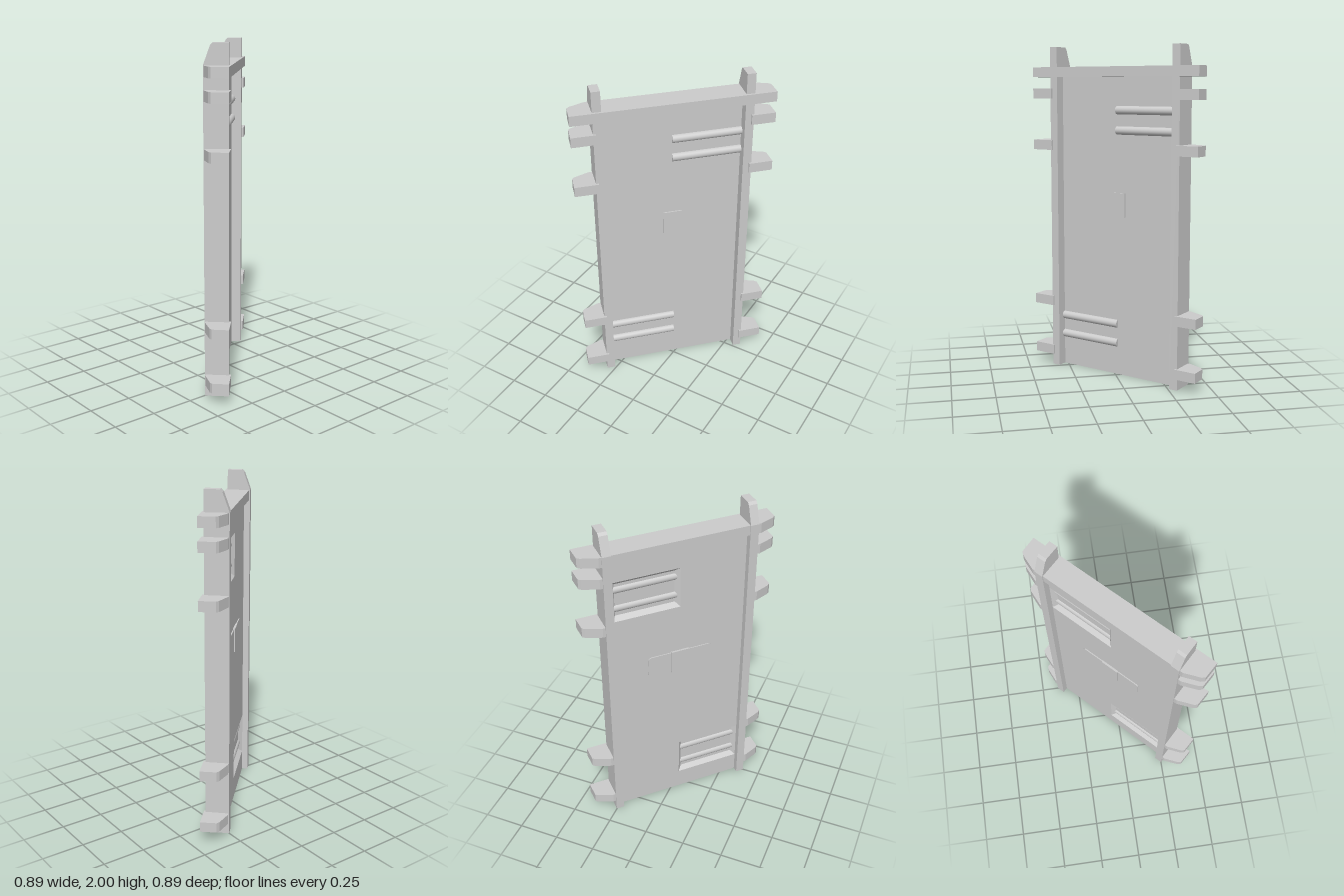
import * as THREE from 'three';

const material = new THREE.MeshStandardMaterial({ color: 0xcccccc });

// Panel frame: x runs along the width, y is up, z is the thickness (front is +z).
const POST_IN = 0.404, POST_OUT = 0.455;
const PANEL_BACK = 0.022, FLOOR = 0.037, PANEL_FRONT = 0.063;

function add(parent, name, geometry, x = 0, y = 0, z = 0) {
  const mesh = new THREE.Mesh(geometry, material);
  mesh.name = name;
  mesh.position.set(x, y, z);
  parent.add(mesh);
  return mesh;
}

function polygon(points) {
  return new THREE.Shape(points.map(([x, y]) => new THREE.Vector2(x, y)));
}

function extrude(shape, depth) {
  return new THREE.ExtrudeGeometry(shape, { depth, bevelEnabled: false, curveSegments: 6 });
}

// Plan outline (x, z) raised to a horizontal plate
function plate(points, height) {
  return extrude(polygon(points), height).rotateX(Math.PI / 2).translate(0, height, 0);
}

function rectangle(x0, x1, y0, y1) {
  return [[x0, y0], [x1, y0], [x1, y1], [x0, y1]];
}

function roundedRect(w, h, r) {
  const s = new THREE.Shape();
  const x = w / 2, y = h / 2;
  s.absarc(x - r, y - r, r, 0, Math.PI / 2);
  s.absarc(-x + r, y - r, r, Math.PI / 2, Math.PI);
  s.absarc(-x + r, -y + r, r, Math.PI, Math.PI * 1.5);
  s.absarc(x - r, -y + r, r, Math.PI * 1.5, Math.PI * 2);
  return s;
}

// Sloping walls from a recess opening down to its floor
function recessWalls(x0, x1, y0, y1, inset) {
  const outer = rectangle(x0, x1, y0, y1);
  const inner = rectangle(x0 + inset, x1 - inset, y0 + inset, y1 - inset);
  const pos = [];
  for (let i = 0; i < 4; i++) {
    const j = (i + 1) % 4;
    const a = [...outer[i], PANEL_FRONT], b = [...outer[j], PANEL_FRONT];
    const c = [...inner[j], FLOOR], d = [...inner[i], FLOOR];
    pos.push(...a, ...b, ...c, ...a, ...c, ...d);
  }
  const g = new THREE.BufferGeometry();
  g.setAttribute('position', new THREE.Float32BufferAttribute(pos, 3));
  g.computeVertexNormals();
  return g;
}

export function createModel() {
  const model = new THREE.Group();
  model.name = 'wallPanel';
  const panel = new THREE.Group();
  panel.name = 'panelAssembly';
  panel.rotation.y = -Math.PI / 4;
  model.add(panel);

  // Door slab: solid back layer and a front layer pierced by two recesses
  const recesses = [
    { x0: -POST_IN, x1: 0.004, y0: 1.435, y1: 1.69, rods: [1.505, 1.625] },
    { x0: -0.004, x1: POST_IN, y0: 0.13, y1: 0.388, rods: [0.2, 0.32] },
  ];
  add(panel, 'backSlab', new THREE.BoxGeometry(0.84, 1.83, FLOOR - PANEL_BACK),
    0, 0.915, (FLOOR + PANEL_BACK) / 2);
  const front = polygon(rectangle(-0.42, 0.42, 0, 1.83));
  for (const r of recesses) {
    front.holes.push(new THREE.Path(polygon(rectangle(r.x0, r.x1, r.y0, r.y1)).getPoints()));
  }
  add(panel, 'frontSlab', extrude(front, PANEL_FRONT - FLOOR), 0, 0, FLOOR);

  // Recess walls and the rods that show on both faces
  for (const r of recesses) {
    add(panel, 'recessWalls', recessWalls(r.x0, r.x1, r.y0, r.y1, 0.025));
    for (const y of r.rods) {
      const rod = new THREE.CylinderGeometry(0.025, 0.025, r.x1 - r.x0, 24).rotateZ(Math.PI / 2);
      add(panel, 'rod', rod, (r.x0 + r.x1) / 2, y, 0.024);
    }
  }

  // Side posts with sloped tops
  const postProfile = polygon([
    [-0.038, 0], [0.1, 0], [0.1, 1.88], [0.062, 1.985], [0.049, 2], [-0.038, 2],
  ]);
  const width = POST_OUT - POST_IN;
  for (const side of [-1, 1]) {
    const post = extrude(postProfile, width).rotateY(-Math.PI / 2).translate(width / 2, 0, 0);
    add(panel, 'sidePost', post, side * (POST_IN + POST_OUT) / 2);
  }

  // Top rail, and clamp tabs of the same outline below it
  const tip = [[0.58, -0.05], [0.577, 0.046], [0.562, 0.06], [0.472, 0.095]];
  const mirrored = (pts) => pts.map(([x, z]) => [-x, z]).reverse();
  add(panel, 'topRail', plate([...tip, ...mirrored(tip)], 0.06), 0, 1.82, 0);
  const tab = [[0.44, -0.05], ...tip, [0.44, 0.095]];
  for (const y of [0.07, 0.39, 1.375, 1.69]) {
    add(panel, 'leftTab', plate(tab, 0.06), 0, y, 0);
    add(panel, 'rightTab', plate(mirrored(tab), 0.06), 0, y, 0);
  }

  // Central latch
  add(panel, 'latchPlate', extrude(roundedRect(0.4, 0.135, 0.02), 0.008), 0, 1.058, PANEL_FRONT - 0.002);
  add(panel, 'latchBlock', new THREE.BoxGeometry(0.112, 0.146, 0.061), 0, 1.058, 0.0445);

  return model;
}
